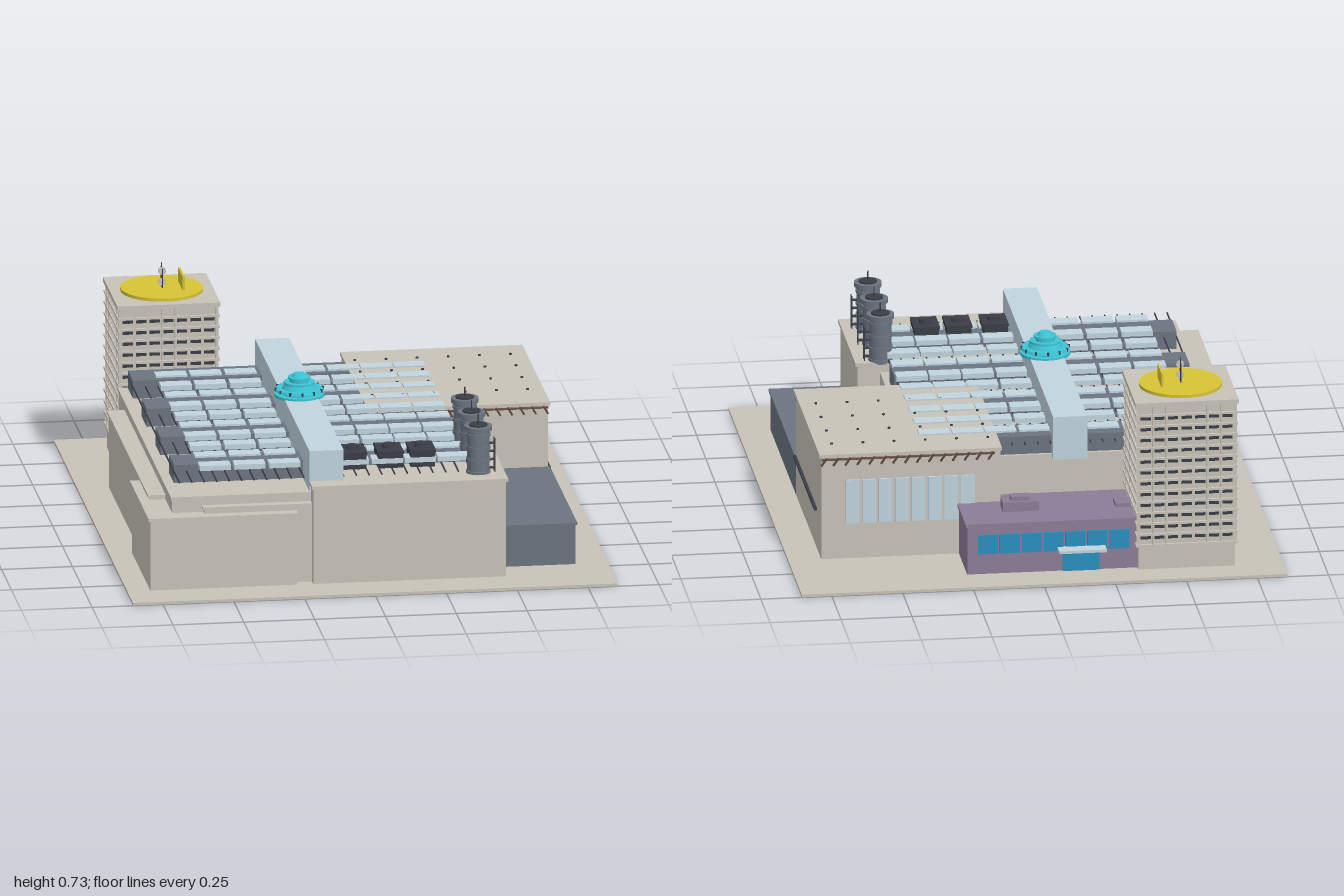
import * as THREE from 'three';

const mat = (color) => new THREE.MeshStandardMaterial({ color });

export function createModel() {
  const model = new THREE.Group();
  const concrete = mat(0xc8c2b8), slate = mat(0x6b7480), pale = mat(0xc0d3dd), cyan = mat(0x3cc4d4);
  const yellow = mat(0xd8c435), purple = mat(0x8c7c98), blue = mat(0x2a8fbf), charcoal = mat(0x3a3d45), brown = mat(0x6a5148);

  const group = (name) => {
    const g = new THREE.Group();
    g.name = name;
    model.add(g);
    return g;
  };
  // Box given by its extents along each axis
  const box = (parent, name, m, x0, x1, y0, y1, z0, z1) => {
    const mesh = new THREE.Mesh(new THREE.BoxGeometry(x1 - x0, y1 - y0, z1 - z0), m);
    mesh.position.set((x0 + x1) / 2, (y0 + y1) / 2, (z0 + z1) / 2);
    mesh.name = name;
    parent.add(mesh);
    return mesh;
  };
  const disc = (parent, name, m, r0, r1, x, y0, y1, z, n = 32) => {
    const mesh = new THREE.Mesh(new THREE.CylinderGeometry(r1, r0, y1 - y0, n), m);
    mesh.position.set(x, (y0 + y1) / 2, z);
    mesh.name = name;
    parent.add(mesh);
    return mesh;
  };

  box(model, 'groundSlab', concrete, -0.856, 0.856, 0, 0.01, -1, 1);

  // Main halls
  const halls = group('halls');
  box(halls, 'coreHall', concrete, -0.69, 0.4, 0.01, 0.325, -0.54, 0.8);
  box(halls, 'coreRoofEdge', concrete, -0.695, 0.4, 0.318, 0.33, -0.54, 0.805);
  box(halls, 'frontHall', concrete, -0.2, 0.48, 0.01, 0.358, 0.395, 0.858);
  box(halls, 'frontHallRoof', concrete, -0.205, 0.487, 0.355, 0.367, 0.39, 0.865);
  box(halls, 'frontWing', concrete, -0.775, -0.258, 0.01, 0.265, 0.395, 0.858);
  box(halls, 'frontWingRoof', concrete, -0.782, -0.253, 0.262, 0.272, 0.39, 0.863);
  box(halls, 'frontWingInfill', concrete, -0.58, -0.2, 0.01, 0.29, 0.79, 0.825);
  box(halls, 'frontWingInfillRoof', concrete, -0.585, -0.2, 0.288, 0.296, 0.79, 0.831);
  box(halls, 'sideWing', concrete, -0.745, -0.68, 0.01, 0.282, -0.395, 0.63);
  box(halls, 'sideWingRoof', concrete, -0.752, -0.68, 0.28, 0.29, -0.402, 0.637);
  box(halls, 'rearHall', concrete, 0.108, 0.74, 0.01, 0.388, -0.635, 0.058);
  box(halls, 'rearHallRoof', concrete, 0.104, 0.747, 0.386, 0.397, -0.642, 0.064);
  box(halls, 'sideAnnex', slate, 0.4, 0.74, 0.01, 0.155, 0.05, 0.745);
  box(halls, 'sideAnnexRoof', slate, 0.4, 0.747, 0.153, 0.161, 0.05, 0.75);
  box(halls, 'sideLedge', charcoal, 0.735, 0.75, 0.15, 0.159, -0.52, 0.06);

  // Tall windows on the back of the rear hall
  const rearWindows = group('rearWindows');
  for (let i = 0; i < 8; i++) {
    const x = 0.2 + i * 0.058;
    box(rearWindows, 'rearWindow', pale, x, x + 0.048, 0.14, 0.3, -0.642, -0.634);
  }

  // Pipes and hanging brackets under the rear hall eaves, and roof vents
  const eaves = group('eaveBrackets');
  for (const [z, s] of [[0.064, 1], [-0.642, -1]]) {
    box(eaves, 'eavePipe', brown, 0.13, 0.74, 0.376, 0.382, z - 0.004, z + 0.004);
    for (let x = 0.14; x < 0.74; x += 0.042) {
      const b = box(eaves, 'eaveBracket', brown, x, x + 0.006, 0.352, 0.388, z - 0.003, z + 0.003);
      b.rotation.set(s * 0.3, 0, 0.5);
    }
  }
  const roofVents = group('roofVents');
  for (const z of [-0.53, -0.39, -0.245, -0.1])
    for (let i = 0; i < 6; i++) disc(roofVents, 'roofVent', charcoal, 0.005, 0.005, 0.14 + i * 0.11, 0.395, 0.402, z, 8);

  // Roof monitors, skylight panels and thin rafters
  const roof = group('skylightRoof');
  for (const z of [-0.465, -0.12, 0.225, 0.57]) {
    box(roof, 'roofMonitor', slate, -0.66, -0.2, 0.325, 0.395, z - 0.063, z + 0.063);
    box(roof, 'roofMonitor', slate, -0.09, 0.38, 0.325, 0.395, z - 0.063, z + 0.063);
  }
  const columns = [-0.52, -0.398, -0.275, -0.033, 0.087, 0.203, 0.32];
  for (let r = 0; r < 10; r++) {
    const z = -0.453 + r * 0.1228;
    for (const x of columns) box(roof, 'skylight', pale, x - 0.055, x + 0.055, 0.384, 0.402, z - 0.028, z + 0.028);
  }
  for (const [a, b] of [[-0.66, -0.22], [-0.08, 0.37]])
    for (let i = 0; i < 11; i++) {
      const x = a + ((b - a) * i) / 10;
      box(roof, 'rafter', charcoal, x - 0.002, x + 0.002, 0.37, 0.375, -0.55, 0.77);
    }

  // Long central spine with tiered round lantern
  box(model, 'spine', pale, -0.205, -0.085, 0.32, 0.477, -0.575, 0.8);
  const lantern = group('lantern');
  const tiers = [
    [0.088, 0.088, 0.474, 0.484], [0.066, 0.066, 0.484, 0.494], [0.086, 0.083, 0.494, 0.502],
    [0.06, 0.052, 0.502, 0.518], [0.054, 0.054, 0.518, 0.525], [0.034, 0.034, 0.525, 0.538],
    [0.04, 0.04, 0.538, 0.543], [0.028, 0.02, 0.543, 0.555],
  ];
  for (const [r0, r1, y0, y1] of tiers) disc(lantern, 'lanternTier', cyan, r0, r1, -0.145, y0, y1, 0.11, 40);
  for (let i = 0; i < 12; i++) {
    const a = (i / 12) * Math.PI * 2;
    disc(lantern, 'lanternLight', charcoal, 0.004, 0.004, -0.145 + 0.083 * Math.cos(a), 0.492, 0.504, 0.11 + 0.083 * Math.sin(a), 8);
  }

  // Banded chimneys with ladders
  for (const z of [0.425, 0.595, 0.765]) {
    const c = group('chimney');
    disc(c, 'stack', slate, 0.039, 0.039, 0.395, 0.36, 0.525, z, 24);
    for (const y of [0.365, 0.41, 0.455, 0.5]) disc(c, 'stackBand', slate, 0.043, 0.043, 0.395, y, y + 0.01, z, 24);
    disc(c, 'stackCap', slate, 0.049, 0.049, 0.395, 0.522, 0.537, z, 24);
    disc(c, 'stackMouth', charcoal, 0.032, 0.032, 0.395, 0.535, 0.542, z, 24);
    disc(c, 'stackRod', charcoal, 0.003, 0.002, 0.395, 0.535, 0.577, z, 6);
    for (const s of [-1, 1]) box(c, 'ladderRail', charcoal, 0.451, 0.454, 0.365, 0.49, z + s * 0.01 - 0.001, z + s * 0.01 + 0.001);
    for (let y = 0.38; y < 0.49; y += 0.03) box(c, 'ladderRung', charcoal, 0.43, 0.454, y, y + 0.003, z - 0.01, z + 0.01);
  }

  // Rooftop cooling units
  for (const x of [-0.03, 0.098, 0.212]) {
    const u = group('coolingUnit');
    box(u, 'unitBody', charcoal, x - 0.043, x + 0.043, 0.365, 0.425, 0.57, 0.678);
    box(u, 'unitLid', charcoal, x - 0.046, x + 0.046, 0.418, 0.428, 0.567, 0.681);
    disc(u, 'unitFan', charcoal, 0.024, 0.02, x, 0.425, 0.441, 0.622, 20);
  }

  // Tower with floor ledges and mullions
  const tower = group('tower');
  box(tower, 'towerBody', concrete, -0.685, -0.345, 0.01, 0.615, -0.885, -0.545);
  box(tower, 'towerCap', concrete, -0.697, -0.333, 0.613, 0.628, -0.897, -0.533);
  for (let i = 0; i < 13; i++) {
    const y = 0.095 + i * 0.04;
    box(tower, 'floorLedge', concrete, -0.695, -0.335, y, y + 0.008, -0.895, -0.535);
    for (let k = 0; k < 7; k++) {
      // Dark window strips on each face between the mullions
      const d = -0.144 + k * 0.048, x = -0.515 + d, z = -0.715 + d;
      if (i === 12) continue;
      box(tower, 'towerWindow', charcoal, x - 0.018, x + 0.018, y + 0.026, y + 0.038, -0.887, -0.543);
      box(tower, 'towerWindow', charcoal, -0.687, -0.343, y + 0.026, y + 0.038, z - 0.018, z + 0.018);
    }
  }
  for (let k = 0; k < 8; k++) {
    const d = -0.168 + k * 0.048;
    box(tower, 'mullion', concrete, -0.517 + d, -0.513 + d, 0.095, 0.615, -0.892, -0.538);
    box(tower, 'mullion', concrete, -0.692, -0.338, 0.095, 0.615, -0.717 + d, -0.713 + d);
  }

  // Round landing deck with sign plate and masts
  const deck = group('roofDeck');
  disc(deck, 'deckDisc', yellow, 0.145, 0.145, -0.515, 0.626, 0.639, -0.715, 48);
  box(deck, 'deckPlate', yellow, -0.449, -0.441, 0.638, 0.69, -0.77, -0.66);
  for (const [dz, top] of [[-0.016, 0.71], [0, 0.728], [0.016, 0.71]])
    disc(deck, 'mast', charcoal, 0.002, 0.002, -0.515, 0.638, top, -0.715 + dz, 6);
  for (const y of [0.66, 0.7]) {
    const dish = disc(deck, 'mastDish', concrete, 0.014, 0.014, -0.515, y - 0.002, y + 0.002, -0.705, 20);
    dish.rotation.x = Math.PI / 2;
  }

  // Rear pavilion with glazing, entrance and canopy
  const pavilion = group('rearPavilion');
  box(pavilion, 'pavilionBody', purple, -0.345, 0.255, 0.01, 0.188, -0.862, -0.54);
  box(pavilion, 'pavilionRoof', purple, -0.345, 0.261, 0.185, 0.196, -0.868, -0.58);
  box(pavilion, 'roofPlant', purple, -0.012, 0.115, 0.195, 0.23, -0.75, -0.68);
  box(pavilion, 'roofPlantTop', purple, 0.02, 0.085, 0.23, 0.245, -0.735, -0.695);
  box(pavilion, 'roofHatch', purple, -0.335, -0.282, 0.195, 0.21, -0.75, -0.68);
  for (let i = 0; i < 7; i++) {
    const x = -0.315 + i * 0.077;
    box(pavilion, 'glazing', blue, x, x + 0.071, 0.085, 0.155, -0.869, -0.86);
  }
  box(pavilion, 'entrance', blue, -0.21, -0.08, 0.01, 0.085, -0.869, -0.86);
  box(pavilion, 'canopy', pale, -0.23, -0.062, 0.09, 0.1, -0.917, -0.86);

  return model;
}
